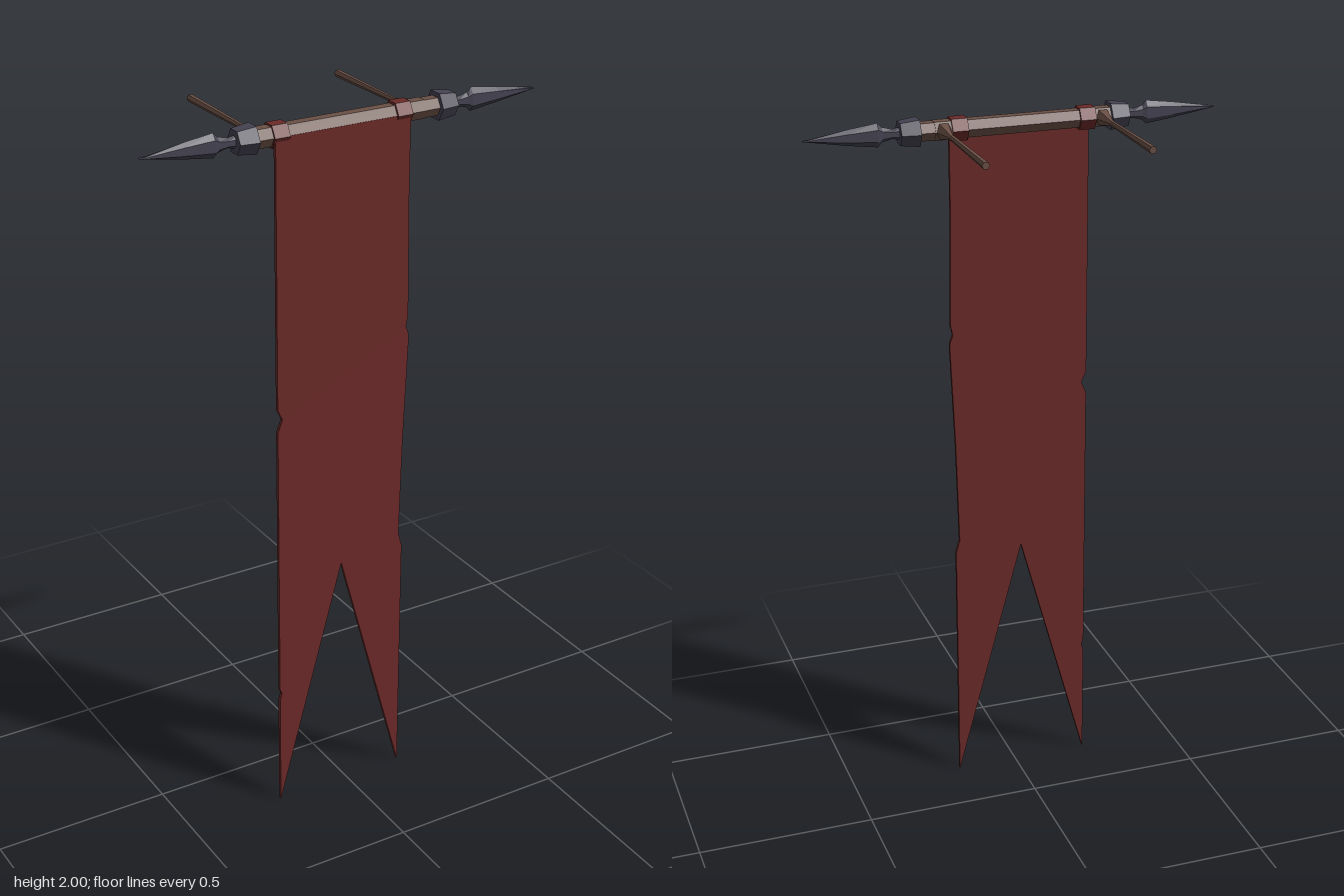
import * as THREE from 'three';

const POLE_Y = 1.965, POLE_Z = 0.163;

function material(color) {
  return new THREE.MeshStandardMaterial({ color, flatShading: true });
}

// Six-sided bar along x, running from x0 (radius r0) to x1 (radius r1)
function hexBar(x0, x1, r0, r1 = r0) {
  const g = new THREE.CylinderGeometry(r1, r0, x1 - x0, 6);
  g.rotateZ(-Math.PI / 2);
  g.translate((x0 + x1) / 2, 0, 0);
  return g;
}

// Six-sided turned form from [radius, height] pairs
function hexLathe(profile) {
  return new THREE.LatheGeometry(profile.map(p => new THREE.Vector2(...p)), 6, Math.PI / 6);
}

// Flattened spear point along +x, with a chisel-like tip
function spearGeometry() {
  const g = hexLathe([[0, 0.3], [0.02, 0.3], [0.013, 0.335], [0.02, 0.362],
    [0.032, 0.374], [0.021, 0.455], [0.001, 0.572], [0, 0.572]]);
  g.rotateZ(-Math.PI / 2);
  const p = g.attributes.position;
  for (let i = 0; i < p.count; i++) {
    const z = p.getZ(i), x = p.getX(i);
    if (Math.abs(z) < 1e-5) continue;
    const t = x < 0.37 ? 0.011 : THREE.MathUtils.mapLinear(x, 0.37, 0.572, 0.0135, 0.006);
    p.setZ(i, Math.sign(z) * t);
  }
  g.computeVertexNormals();
  return g;
}

// Swallow-tailed cloth with worn, nicked edges
function clothGeometry() {
  const outline = [
    [-0.217, 1.965], [-0.217, 1.23], [-0.203, 1.2], [-0.217, 1.165],
    [-0.217, 0.37], [-0.211, 0.355], [-0.217, 0.335], [-0.217, 0],
    [-0.021, 0.72], [0.175, 0], [0.175, 0.72], [0.164, 0.76], [0.171, 1.05],
    [0.183, 1.34], [0.183, 1.36], [0.174, 1.385], [0.18, 1.41], [0.175, 1.75], [0.175, 1.965],
  ];
  const shape = new THREE.Shape(outline.map(p => new THREE.Vector2(...p)));
  const g = new THREE.ExtrudeGeometry(shape, { depth: 0.01, bevelEnabled: false });
  g.translate(0, 0, 0.181);
  return g;
}

export function createModel() {
  const model = new THREE.Group();
  const wood = material(0x6b5046), metal = material(0x454352), red = material(0x6b2a28);

  function add(parent, name, geometry, mat) {
    const mesh = new THREE.Mesh(geometry, mat);
    mesh.name = name;
    parent.add(mesh);
    return mesh;
  }

  add(model, 'cloth', clothGeometry(), red);

  const rail = new THREE.Group();
  rail.name = 'rail';
  rail.position.set(0, POLE_Y, POLE_Z);
  model.add(rail);
  add(rail, 'pole', hexBar(-0.28, 0.28, 0.027), wood);

  // Cloth loops around the pole
  for (const x of [-0.199, 0.157]) add(rail, 'clothLoop', hexBar(x - 0.022, x + 0.022, 0.034), red);

  // Metal collar and spear point on each end
  for (const turn of [0, Math.PI]) {
    const finial = new THREE.Group();
    finial.name = turn ? 'rightFinial' : 'leftFinial';
    finial.rotation.y = turn;
    add(finial, 'collar', hexBar(0.265, 0.317, 0.041, 0.034), metal);
    add(finial, 'spearPoint', spearGeometry(), metal);
    rail.add(finial);
  }

  // Wall brackets: a sleeve on the pole and an arm flaring into it
  for (const x of [-0.243, 0.2]) {
    const bracket = new THREE.Group();
    bracket.name = x < 0 ? 'rightBracket' : 'leftBracket';
    bracket.position.x = x;
    add(bracket, 'sleeve', hexBar(-0.024, 0.024, 0.0285), wood);
    const arm = hexLathe([[0, -0.372], [0.0105, -0.372], [0.0075, -0.085], [0.023, -0.02], [0.023, 0], [0, 0]]);
    arm.rotateX(Math.PI / 2);
    add(bracket, 'arm', arm, wood);
    rail.add(bracket);
  }
  return model;
}
